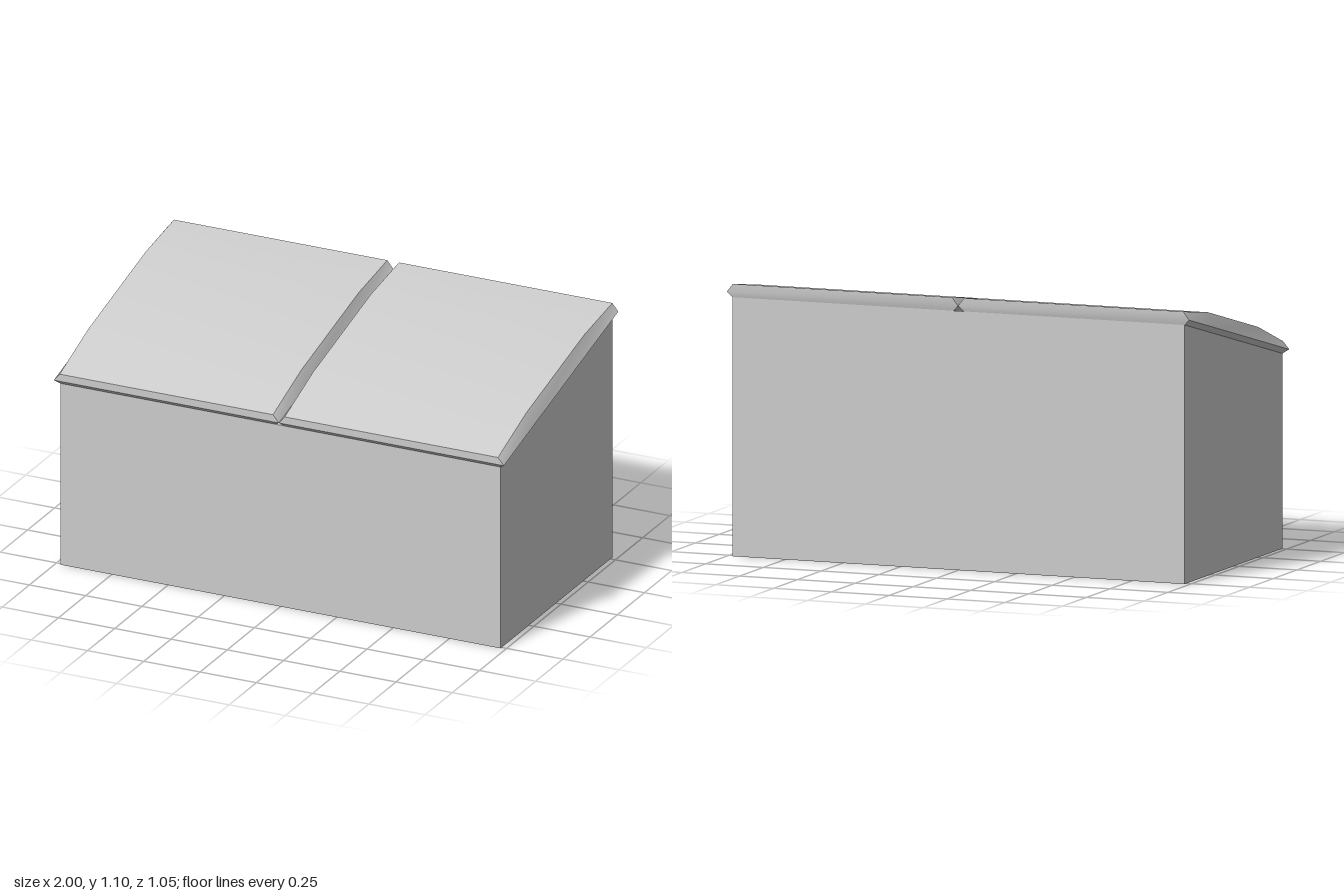
import * as THREE from 'three';
import { toCreasedNormals } from 'three/addons/utils/BufferGeometryUtils.js';

const material = new THREE.MeshStandardMaterial({ color: 0xcccccc });

// Height of the sloping rim line, from low front to high back
const rimY = (z) => 0.9375 - 0.252 * z;

// Box whose top follows the slope just under the lids
function createBody() {
  const geo = new THREE.BoxGeometry(1.956, 1, 1.03);
  geo.translate(0, 0.5, -0.005);
  const p = geo.attributes.position;
  for (let i = 0; i < p.count; i++) {
    if (p.getY(i) > 0.5) p.setY(i, rimY(p.getZ(i)) - 0.02);
  }
  geo.computeVertexNormals();
  const body = new THREE.Mesh(geo, material);
  body.name = 'body';
  return body;
}

// Shallow domed lid: six-sided sections lofted from front to back
function createLid(name, x) {
  const profile = [[0.526, 0.836], [0.265, 0.93], [-0.265, 1.064], [-0.526, 1.103]];
  const points = [];
  for (const [z, top] of profile) {
    const zb = THREE.MathUtils.clamp(z, -0.52, 0.51); // underside tucks in to the body
    const yb = rimY(zb) - 0.02, ye = rimY(z);
    points.push(
      -0.478, yb, zb, 0.478, yb, zb,
      0.5, ye, z, 0.474, top, z,
      -0.474, top, z, -0.5, ye, z
    );
  }
  const index = [];
  const quad = (a, b, c, d) => index.push(a, b, c, a, c, d);
  for (let j = 0; j < profile.length - 1; j++) {
    for (let i = 0; i < 6; i++) {
      const a = j * 6 + i, b = j * 6 + (i + 1) % 6;
      quad(a, a + 6, b + 6, b);
    }
  }
  // Front and back ends
  const k = (profile.length - 1) * 6;
  quad(0, 1, 2, 5);
  quad(5, 2, 3, 4);
  quad(k + 5, k + 2, k + 1, k);
  quad(k + 4, k + 3, k + 2, k + 5);

  const geo = new THREE.BufferGeometry();
  geo.setAttribute('position', new THREE.Float32BufferAttribute(points, 3));
  geo.setIndex(index);
  const lid = new THREE.Mesh(toCreasedNormals(geo, 0.4), material);
  lid.name = name;
  lid.position.x = x;
  return lid;
}

export function createModel() {
  const model = new THREE.Group();
  model.name = 'slopedChest';
  model.add(createBody(), createLid('leftLid', 0.5), createLid('rightLid', -0.5));
  return model;
}
